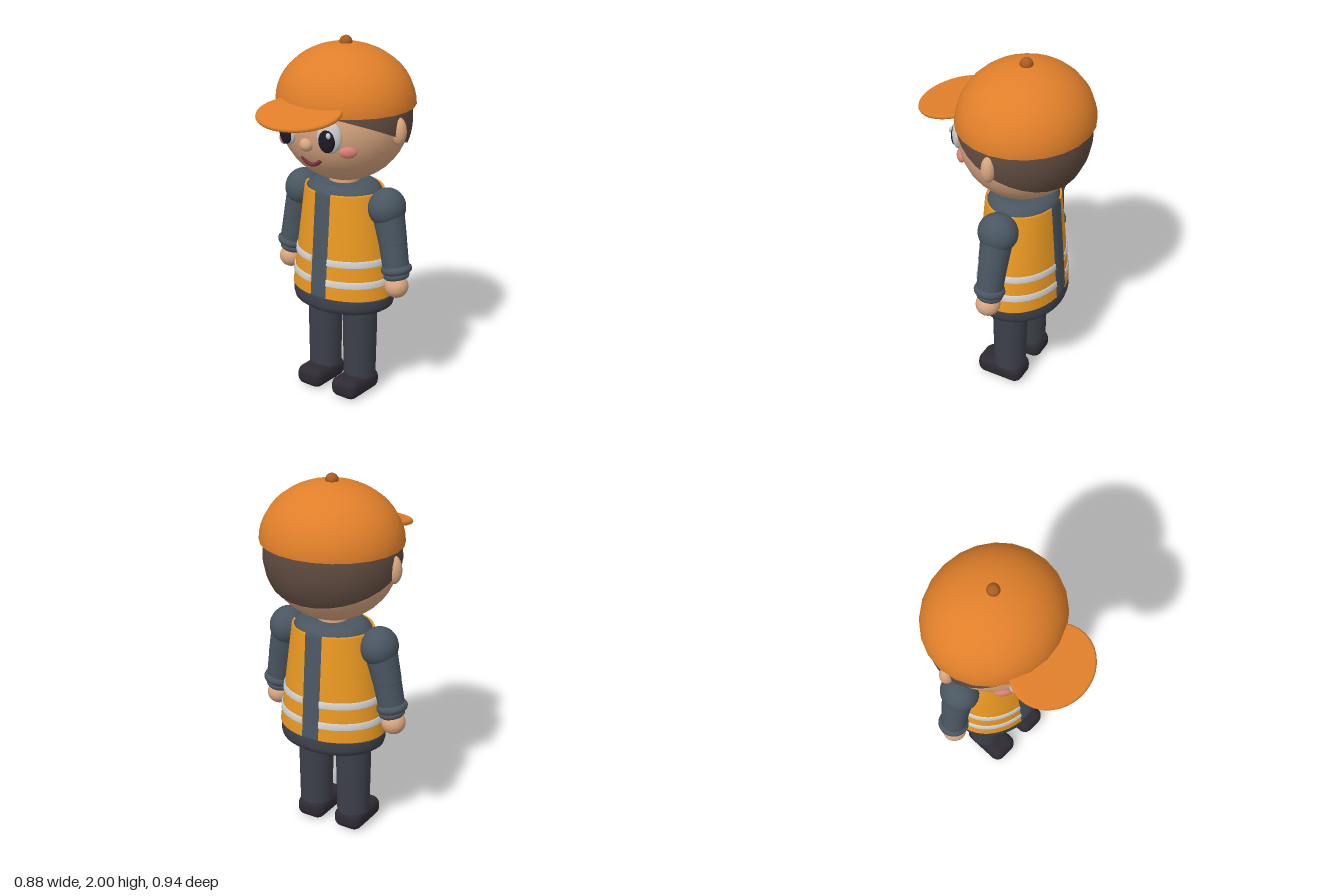
import * as THREE from 'three';
import { mergeVertices } from 'three/addons/utils/BufferGeometryUtils.js';
import { RoundedBoxGeometry } from 'three/addons/geometries/RoundedBoxGeometry.js';

const COLORS = {
  cap: 0xe07f2a, button: 0xa85c22, vest: 0xec9a22, band: 0xd4d6da, slate: 0x4a5661,
  trousers: 0x3d404a, shoe: 0x2f2a33, skin: 0xd9a680, hair: 0x5e4a3f,
  white: 0xf2f2f2, pupil: 0x1c1a26, blush: 0xd98078, mouth: 0x7a2f3a,
};
const mats = {};
const mat = (key) => (mats[key] ??= new THREE.MeshStandardMaterial({ color: COLORS[key], side: THREE.DoubleSide }));
const CZ = -0.11; // depth of the body axis

function add(parent, name, geometry, color, x = 0, y = 0, z = 0) {
  const mesh = new THREE.Mesh(geometry, mat(color));
  mesh.name = name;
  mesh.position.set(x, y, z);
  parent.add(mesh);
  return mesh;
}

function ball(parent, name, color, [x, y, z], [rx, ry, rz], seg = 24) {
  const mesh = add(parent, name, new THREE.SphereGeometry(1, seg, Math.round(seg * 0.67)), color, x, y, z);
  mesh.scale.set(rx, ry, rz);
  return mesh;
}

// Elliptical skin through rings [y, rx, rz] listed top to bottom,
// split at front and back by a gap of constant half width
function shell(parent, name, color, rings, gap = 0) {
  const group = new THREE.Group();
  group.name = name;
  group.position.z = CZ;
  for (const side of [0, 1]) {
    const n = 20;
    let geo = new THREE.PlaneGeometry(1, 1, n, rings.length - 1);
    const p = geo.attributes.position;
    for (let i = 0; i < p.count; i++) {
      const [y, rx, rz] = rings[Math.floor(i / (n + 1))];
      const cut = gap ? Math.asin(gap / rx) : 0;
      const a = side * Math.PI + cut + ((i % (n + 1)) / n) * (Math.PI - 2 * cut);
      p.setXYZ(i, rx * Math.sin(a), y, rz * Math.cos(a));
    }
    geo.deleteAttribute('uv');
    geo.deleteAttribute('normal');
    geo = mergeVertices(geo);
    geo.computeVertexNormals();
    add(group, name + (side ? 'Right' : 'Left'), geo, color);
  }
  parent.add(group);
}

// Tapered round limb between two points
function limb(parent, name, color, a, b, ra, rb) {
  const from = new THREE.Vector3(...a), to = new THREE.Vector3(...b);
  const dir = to.clone().sub(from);
  const mesh = add(parent, name, new THREE.CylinderGeometry(rb, ra, dir.length(), 24), color);
  mesh.position.copy(from).addScaledVector(dir, 0.5);
  mesh.quaternion.setFromUnitVectors(new THREE.Vector3(0, 1, 0), dir.normalize());
  return mesh;
}

function buildHead(root) {
  const head = new THREE.Group();
  head.name = 'head';
  root.add(head);
  ball(head, 'skull', 'skin', [0, 1.57, CZ], [0.35, 0.34, 0.335], 32);

  // Hair: tilted open cap, lower at the back
  const hair = add(head, 'hair', new THREE.SphereGeometry(1, 32, 20, 0, Math.PI * 2, 0, 1.73), 'hair', 0, 1.57, CZ);
  hair.scale.set(0.367, 0.353, 0.345);
  hair.rotation.x = -0.42;

  // Face and ears
  ball(head, 'nose', 'skin', [0, 1.49, 0.215], [0.038, 0.036, 0.035], 16);
  for (const s of [-1, 1]) {
    ball(head, 'ear', 'skin', [s * 0.355, 1.55, -0.1], [0.042, 0.075, 0.038], 16);
    const eye = ball(head, 'eye', 'white', [s * 0.133, 1.548, 0.195], [0.067, 0.087, 0.035]);
    eye.rotation.y = s * 0.3;
    const pupil = ball(head, 'pupil', 'pupil', [s * 0.133, 1.535, 0.217], [0.047, 0.064, 0.02]);
    pupil.rotation.y = s * 0.2;
    ball(head, 'eyeGlint', 'white', [s * 0.133 + 0.02, 1.567, 0.231], [0.014, 0.016, 0.01], 12);
    const cheek = ball(head, 'cheek', 'blush', [s * 0.212, 1.47, 0.142], [0.047, 0.031, 0.02], 16);
    cheek.rotation.y = s * 0.7;
  }
  const smile = new THREE.CatmullRomCurve3([[-0.056, 1.402, 0.172], [-0.032, 1.382, 0.173], [0, 1.374, 0.174],
    [0.032, 1.382, 0.173], [0.056, 1.402, 0.172]].map((p) => new THREE.Vector3(...p)));
  add(head, 'mouth', new THREE.TubeGeometry(smile, 16, 0.011, 8), 'mouth');
  for (const end of [smile.points[0], smile.points[4]]) {
    ball(head, 'mouthCorner', 'mouth', end.toArray(), [0.011, 0.011, 0.011], 10);
  }

  // Cap with visor and top button
  const dome = add(head, 'capDome', new THREE.SphereGeometry(1, 24, 12, 0, Math.PI * 2, 0, Math.PI / 2), 'cap', 0, 1.65, -0.117);
  dome.scale.set(0.382, 0.313, 0.356);
  ball(head, 'capButton', 'button', [0, 1.967, -0.117], [0.034, 0.033, 0.034], 16);
  const rim = [[0, -0.013], [0.222, -0.013], [0.231, -0.009], [0.235, 0], [0.231, 0.009], [0.222, 0.013], [0, 0.013]];
  const visor = add(head, 'capVisor', new THREE.LatheGeometry(rim.map((p) => new THREE.Vector2(...p)), 32), 'cap', 0, 1.668, 0.273);
  visor.scale.z = 0.86;
  visor.rotation.x = 0.185;
}

function buildTorso(root) {
  const torso = new THREE.Group();
  torso.name = 'torso';
  root.add(torso);
  const ring = (y, off) => [y, 0.225 + (1.19 - y) * 0.135 + off, 0.195 + (1.19 - y) * 0.075 + off];

  add(torso, 'neck', new THREE.CylinderGeometry(0.08, 0.085, 0.12, 24), 'skin', 0, 1.23, CZ);
  shell(torso, 'jacket', 'slate', [[1.222, 0, 0], [1.222, 0.14, 0.12], [1.215, 0.175, 0.15],
    [1.195, 0.203, 0.175], ring(1.165, -0.009), ring(0.9, -0.007), ring(0.6, -0.007)]);
  shell(torso, 'hem', 'trousers', [[0.63, 0.28, 0.22], [0.612, 0.292, 0.23], [0.6, 0.297, 0.236], [0.56, 0.297, 0.24],
    [0.535, 0.29, 0.233], [0.522, 0.272, 0.216], [0.518, 0.25, 0.195], [0.518, 0, 0]]);

  // Open vest with two reflective bands
  shell(torso, 'vest', 'vest', [ring(1.182, -0.012), ring(1.19, -0.003), ring(1.18, 0), ring(0.9, 0), ring(0.61, 0), ring(0.605, -0.01)], 0.05);
  for (const y of [0.7, 0.815]) {
    shell(torso, 'reflectiveBand', 'band', [ring(y + 0.018, 0), ring(y + 0.017, 0.006), ring(y - 0.017, 0.006), ring(y - 0.018, 0)], 0.05);
  }
}

function buildArm(root, s) {
  const arm = new THREE.Group();
  arm.name = s > 0 ? 'leftArm' : 'rightArm';
  root.add(arm);
  const elbow = [s * 0.325, 0.94, -0.105], wrist = [s * 0.358, 0.77, -0.098];
  ball(arm, 'shoulder', 'slate', [s * 0.28, 1.118, CZ], [0.1, 0.105, 0.108]);
  limb(arm, 'upperSleeve', 'slate', [s * 0.285, 1.11, CZ], elbow, 0.088, 0.077);
  ball(arm, 'elbow', 'slate', elbow, [0.077, 0.077, 0.077]);
  const lower = limb(arm, 'lowerSleeve', 'slate', elbow, wrist, 0.076, 0.07);
  // Two rolled rings at the wrist
  for (const [y, r, tube] of [[0.788, 0.06, 0.024], [0.752, 0.05, 0.02]]) {
    const cuff = add(arm, 'cuff', new THREE.TorusGeometry(r, tube, 12, 28).rotateX(Math.PI / 2), 'slate', s * 0.356, y, -0.1);
    cuff.quaternion.copy(lower.quaternion);
  }
  ball(arm, 'hand', 'skin', [s * 0.362, 0.693, -0.093], [0.065, 0.063, 0.066]);
}

function buildLeg(root, s) {
  const leg = new THREE.Group();
  leg.name = s > 0 ? 'leftLeg' : 'rightLeg';
  root.add(leg);
  const x = s * 0.12, z = -0.097;
  limb(leg, 'thigh', 'trousers', [x, 0.57, z], [x, 0.355, z], 0.096, 0.095);
  limb(leg, 'shin', 'trousers', [x, 0.355, z], [x, 0.1, z], 0.094, 0.09);
  ball(leg, 'ankle', 'trousers', [x, 0.11, z], [0.09, 0.045, 0.09]);
  add(leg, 'shoe', new RoundedBoxGeometry(0.166, 0.115, 0.272, 5, 0.048), 'shoe', x, 0.0575, -0.056);
}

export function createModel() {
  const root = new THREE.Group();
  root.name = 'worker';
  buildHead(root);
  buildTorso(root);
  for (const s of [-1, 1]) {
    buildArm(root, s);
    buildLeg(root, s);
  }
  return root;
}
